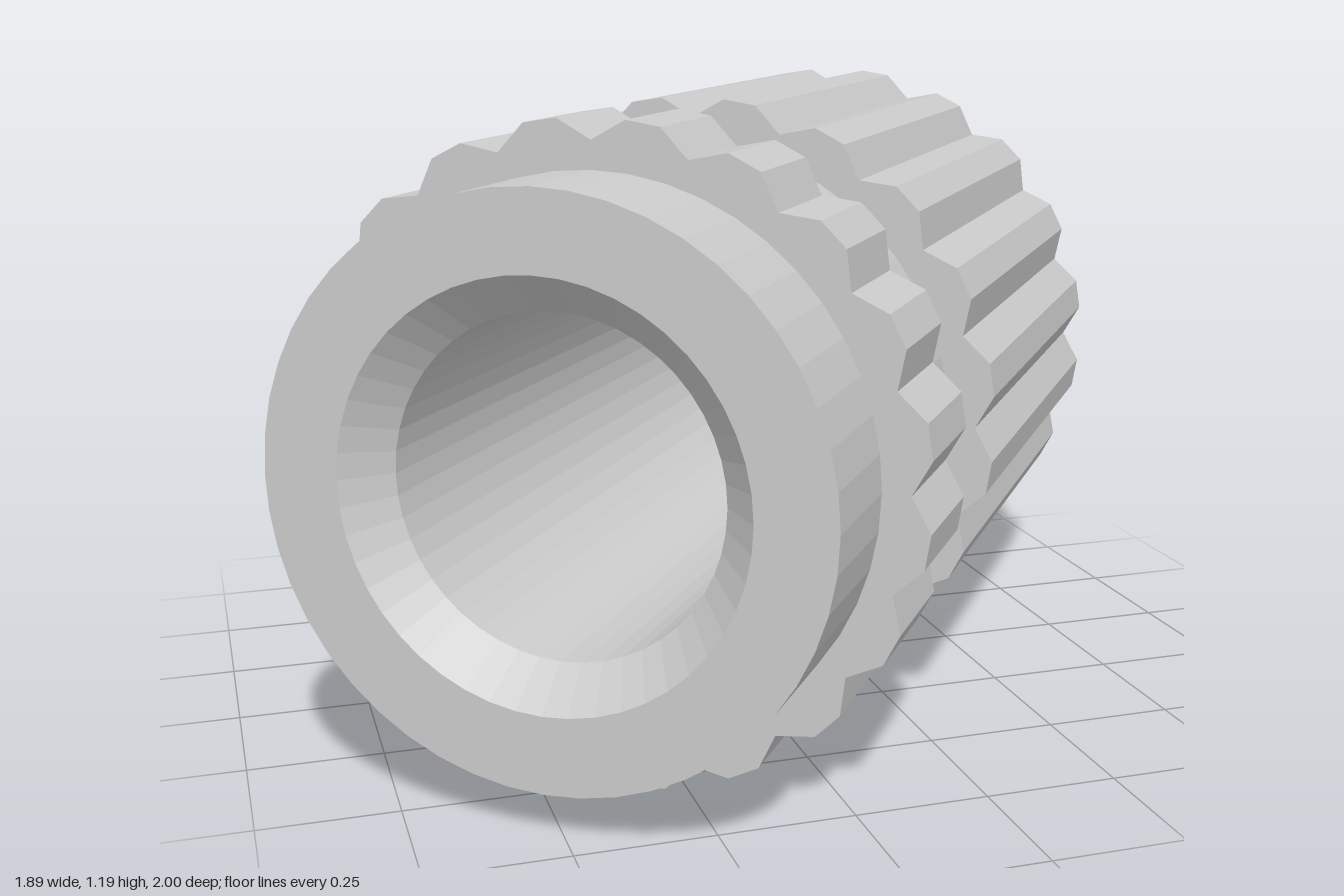
import * as THREE from 'three';

const TEETH = 20, CREST = 0.598, ROOT = 0.56;
const BORE = 0.30, BODY = 0.51, LENGTH = 1.667;

// Ring with V-shaped grooves between flat-topped teeth
function knurl(name, from, to, hole, material) {
  const step = (Math.PI * 2) / TEETH;
  const points = [];
  for (let i = 0; i < TEETH; i++) {
    for (const [part, r] of [[0, ROOT], [1 / 3, CREST], [2 / 3, CREST]]) {
      const a = (i + part) * step;
      points.push(new THREE.Vector2(r * Math.cos(a), r * Math.sin(a)));
    }
  }
  const shape = new THREE.Shape(points);
  shape.holes.push(new THREE.Path().absarc(0, 0, hole, 0, Math.PI * 2, true));
  const geometry = new THREE.ExtrudeGeometry(shape, {
    depth: to - from, bevelEnabled: false, curveSegments: 24,
  });
  geometry.translate(0, 0, from);
  const mesh = new THREE.Mesh(geometry, material);
  mesh.name = name;
  return mesh;
}

export function createModel() {
  const material = new THREE.MeshStandardMaterial({ color: 0xcccccc, flatShading: true });
  const insert = new THREE.Group();
  insert.name = 'threadedInsert';

  // Long knurled body at the back, with the bore through it
  insert.add(knurl('knurledBody', 0, 0.956, BORE, material));

  // Short knurled ring around the sleeve
  insert.add(knurl('knurledRing', 1.192, 1.43, BODY - 0.005, material));

  // Smooth sleeve: outer wall, front rim, chamfered mouth and bore
  const profile = [
    [BODY, 0.956], [BODY, LENGTH], [0.37, LENGTH], [BORE, LENGTH - 0.075], [BORE, 0.956],
  ].map(([r, t]) => new THREE.Vector2(r, t));
  const sleeve = new THREE.Mesh(new THREE.LatheGeometry(profile, 48), material);
  sleeve.geometry.rotateX(Math.PI / 2);
  sleeve.name = 'sleeve';
  insert.add(sleeve);

  // Centre the part along its axis, then turn it in plan
  for (const part of insert.children) part.position.z = -LENGTH / 2;
  insert.rotation.y = -0.647;
  insert.position.set(-0.0325, 0.598, 0.02);

  const model = new THREE.Group();
  model.name = 'model';
  model.add(insert);
  return model;
}
